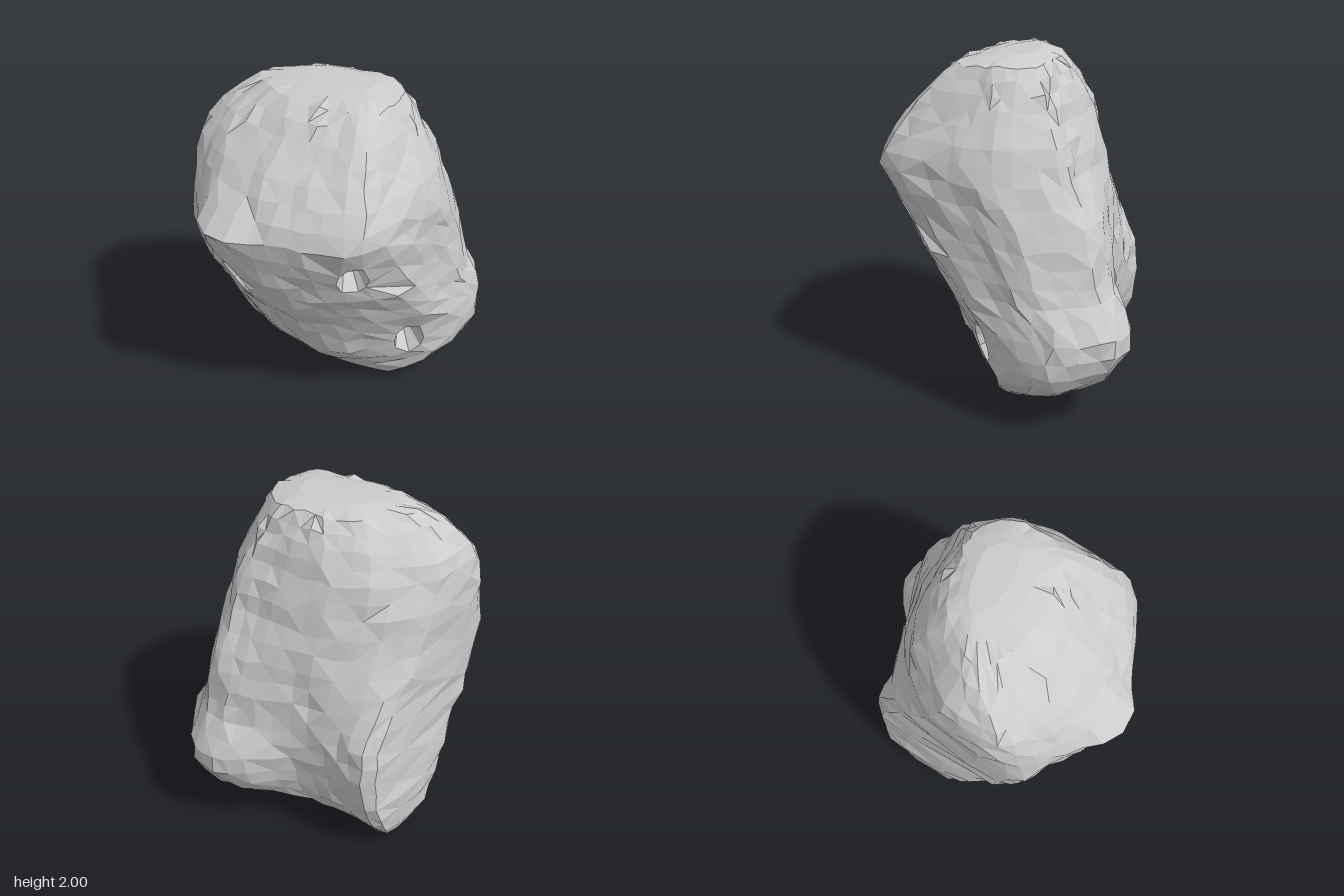
import * as THREE from 'three';

// Level: [y, left x, right x, front z, right-face front z, left-face front z, left-face back z, back z mid-left, back z on right]
const levels = [
  [0.00, -0.47, 0.17, -0.08, -0.13, -0.11, -0.20, -0.22, -0.23],
  [0.04, -0.57, 0.32, -0.01, -0.12, -0.05, -0.26, -0.28, -0.29],
  [0.12, -0.62, 0.41, 0.06, -0.13, 0.01, -0.32, -0.36, -0.38],
  [0.21, -0.63, 0.53, 0.15, -0.20, 0.07, -0.37, -0.42, -0.62],
  [0.34, -0.635, 0.62, 0.27, -0.25, 0.14, -0.42, -0.48, -0.77],
  [0.54, -0.63, 0.635, 0.38, -0.20, 0.22, -0.44, -0.52, -0.865],
  [0.66, -0.62, 0.63, 0.44, -0.10, 0.28, -0.44, -0.54, -0.82],
  [0.80, -0.62, 0.62, 0.54, 0.03, 0.38, -0.41, -0.54, -0.73],
  [1.10, -0.62, 0.62, 0.71, 0.29, 0.46, -0.21, -0.52, -0.66],
  [1.25, -0.63, 0.63, 0.75, 0.40, 0.46, -0.11, -0.50, -0.58],
  [1.38, -0.635, 0.63, 0.76, 0.48, 0.44, -0.05, -0.47, -0.51],
  [1.53, -0.635, 0.61, 0.69, 0.46, 0.43, 0.01, -0.43, -0.47],
  [1.71, -0.61, 0.51, 0.55, 0.34, 0.39, 0.06, -0.36, -0.39],
  [1.87, -0.51, 0.43, 0.38, 0.23, 0.28, 0.08, -0.28, -0.32],
  [1.96, -0.38, 0.36, 0.25, 0.14, 0.17, 0.05, -0.21, -0.26],
  [2.00, -0.20, 0.21, 0.05, 0.00, 0.00, -0.03, -0.12, -0.15],
];
// Hole: centre, rim half width and half height
const holes = [
  { at: [-0.19, 0.95, 0.62], rx: 0.14, ry: 0.12 },
  { at: [0.49, 1.15, 0.42], rx: 0.09, ry: 0.13 },
  { at: [0.50, 0.44, -0.09], rx: 0.09, ry: 0.13 },
];
const AROUND = 39, ROWS = 25;
const mix = THREE.MathUtils.lerp;

function seeded(seed) {
  return () => (seed = (seed * 16807) % 2147483647) / 2147483647 - 0.5;
}

// One horizontal cross-section, from the front round past the right-hand (+x) face
function section([y, xl, xr, zf, zr, zl, zlb, zbl, zbr]) {
  const loop = [
    [mix(xl, xr, 0.31), zf],
    [mix(xl, xr, 0.58), zf],
    [mix(xl, xr, 0.78), mix(zf, zr, 0.35)],
    [xr * 0.97, zr],
    [xr, mix(zr, zbr, 0.45)],
    [xr * 0.94, mix(zr, zbr, 0.71)],
    [xr * 0.6, zbr],
    [xr * 0.25, mix(zbl, zbr, 0.95)],
    [mix(xl, xr, 0.4), mix(zbl, zbr, 0.15)],
    [xl * 0.65, mix(zbl, zlb, 0.3)],
    [xl, zlb],
    [xl, zl],
    [xl * 0.74, mix(zl, zf, 0.58)],
  ].map(([x, z]) => new THREE.Vector3(x, y, z));
  const curve = new THREE.CatmullRomCurve3(loop, true, 'catmullrom', 0.4);
  return Array.from({ length: AROUND }, (_, i) => curve.getPoint(i / AROUND));
}

// Grid of points over the boulder, indexed [column][row], slightly roughened
function boulderGrid() {
  const rand = seeded(71);
  const sections = levels.map(section);
  const columns = Array.from({ length: AROUND }, (_, i) =>
    new THREE.CatmullRomCurve3(sections.map((s) => s[i]), false, 'catmullrom', 0.4));
  return columns.map((column) => Array.from({ length: ROWS }, (_, j) => {
    // Rows are spaced evenly along the front column and stay level all round
    const p = column.getPoint(columns[1].getUtoTmapping(j / (ROWS - 1)));
    // Snout-like knob on the upper front
    if (p.z > 0.3) p.z += 0.12 * Math.exp(-(((p.x + 0.1) / 0.16) ** 2) - ((p.y - 1.39) / 0.09) ** 2);
    const rough = j > 1 && j < ROWS - 2 ? 0.024 : 0;
    return p.add(new THREE.Vector3(rand(), rand(), rand()).multiplyScalar(rough));
  }));
}

function createBoulderGeometry() {
  const grid = boulderGrid();
  const at = (i, j) => grid[(i + AROUND) % AROUND][j];
  const out = [];
  const tri = (...pts) => pts.forEach((p) => out.push(p.x, p.y, p.z));
  const quad = (a, b, c, d) => { tri(a, b, c); tri(a, c, d); };
  const open = new Set();

  // Holes: the eight neighbours of the nearest point become the rim of a pit
  const ring = [[-1, -1], [0, -1], [1, -1], [1, 0], [1, 1], [0, 1], [-1, 1], [-1, 0]];
  for (const { at: pos, rx, ry } of holes) {
    const centre = new THREE.Vector3(...pos);
    let ci = 0, cj = 2, best = Infinity;
    for (let i = 0; i < AROUND; i++) for (let j = 2; j < ROWS - 2; j++) {
      const d = at(i, j).distanceTo(centre);
      if (d < best) { best = d; ci = i; cj = j; }
    }
    const v = at(ci, cj).clone();
    const normal = at(ci + 1, cj).clone().sub(at(ci - 1, cj))
      .cross(at(ci, cj + 1).clone().sub(at(ci, cj - 1))).normalize();
    const across = new THREE.Vector3(0, 1, 0).cross(normal).normalize();
    const up = normal.clone().cross(across);
    // Sink the rim a little below the surrounding skin
    centre.addScaledVector(normal, -0.015 - centre.clone().sub(v).dot(normal));
    const rim = ring.map(([di, dj]) => {
      const p = at(ci + di, cj + dj);
      const dir = p.clone().sub(v).projectOnPlane(normal).normalize();
      return p.copy(centre).addScaledVector(across, dir.dot(across) * rx).addScaledVector(up, dir.dot(up) * ry);
    });
    const floor = centre.clone().addScaledVector(normal, -0.16);
    const inner = rim.map((p) => p.clone().lerp(centre, 0.45).addScaledVector(normal, -0.11));
    rim.forEach((p, k) => {
      const n = (k + 1) % 8;
      quad(p, rim[n], inner[n], inner[k]);
      tri(inner[k], inner[n], floor);
    });
    for (const di of [-1, 0]) for (const dj of [-1, 0]) open.add(`${(ci + di + AROUND) % AROUND},${cj + dj}`);
  }

  // Outer skin
  for (let i = 0; i < AROUND; i++) for (let j = 0; j < ROWS - 1; j++) {
    if (open.has(`${i},${j}`)) continue;
    const a = at(i, j), b = at(i + 1, j), c = at(i + 1, j + 1), d = at(i, j + 1);
    if ((i + j) % 2) quad(a, b, c, d); else quad(b, c, d, a);
  }

  // Bottom and top caps
  for (const j of [0, ROWS - 1]) {
    const mid = new THREE.Vector3();
    for (let i = 0; i < AROUND; i++) mid.addScaledVector(at(i, j), 1 / AROUND);
    for (let i = 0; i < AROUND; i++) {
      if (j === 0) tri(at(i + 1, j), at(i, j), mid); else tri(at(i, j), at(i + 1, j), mid);
    }
  }

  const geo = new THREE.BufferGeometry();
  geo.setAttribute('position', new THREE.Float32BufferAttribute(out, 3));
  geo.computeVertexNormals();
  return geo;
}

export function createModel() {
  const group = new THREE.Group();
  group.name = 'rock';
  const boulder = new THREE.Mesh(
    createBoulderGeometry(),
    new THREE.MeshStandardMaterial({ color: 0xcccccc, flatShading: true }),
  );
  boulder.name = 'boulder';
  group.add(boulder);
  return group;
}
